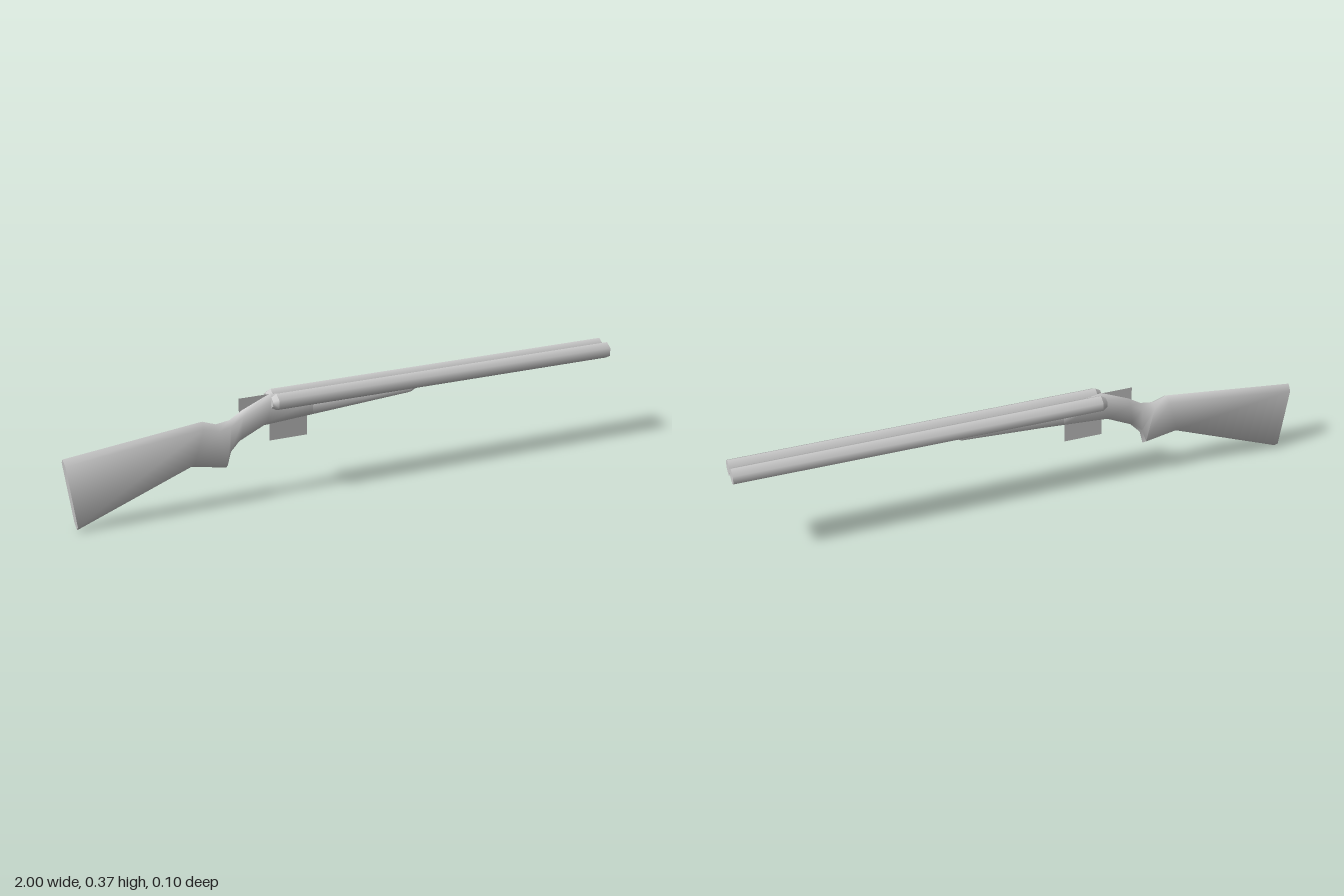
import * as THREE from 'three';
import { mergeVertices, toCreasedNormals } from 'three/addons/utils/BufferGeometryUtils.js';

const grey = new THREE.MeshStandardMaterial({ color: 0xcccccc });
const thin = new THREE.MeshStandardMaterial({ color: 0xcccccc, side: THREE.DoubleSide });

// Lofts six-sided sections along x: [top x, top y, bottom x, bottom y, half width, lower half width]
function loft(name, sections) {
  const pos = [], index = [], n = sections.length;
  for (const [tx, ty, bx, by, w, lw = w] of sections) {
    const f = Math.min(0.018 / (ty - by), 0.3);
    const ring = [[0, 0], [f, w], [1 - f, lw], [1, 0], [1 - f, -lw], [f, -w]];
    for (const [t, z] of ring) pos.push(tx + (bx - tx) * t, ty + (by - ty) * t, z);
  }
  for (let i = 0; i < n - 1; i++) {
    for (let j = 0; j < 6; j++) {
      const a = i * 6 + j, b = i * 6 + (j + 1) % 6;
      index.push(a, b, a + 6, b, b + 6, a + 6);
    }
  }
  // End faces
  const e = (n - 1) * 6;
  for (let j = 1; j < 5; j++) index.push(0, j + 1, j, e, e + j, e + j + 1);
  const geo = new THREE.BufferGeometry();
  geo.setAttribute('position', new THREE.Float32BufferAttribute(pos, 3));
  geo.setIndex(index);
  const mesh = new THREE.Mesh(toCreasedNormals(mergeVertices(geo), 1.15), grey);
  mesh.name = name;
  return mesh;
}

// Six-sided tube section along x, with a ridge on top
function hexTube(name, x0, x1, r0, r1, z) {
  const geo = new THREE.CylinderGeometry(r1, r0, x1 - x0, 6, 1, false, Math.PI / 2);
  geo.rotateZ(-Math.PI / 2);
  const mesh = new THREE.Mesh(geo, grey);
  mesh.position.set((x0 + x1) / 2, 0.348, z);
  mesh.name = name;
  return mesh;
}

// Flat plate on the centre plane, from outline corners
function plate(name, corners) {
  const shape = new THREE.Shape(corners.map(([x, y]) => new THREE.Vector2(x, y)));
  const mesh = new THREE.Mesh(new THREE.ShapeGeometry(shape), thin);
  mesh.name = name;
  return mesh;
}

export function createModel() {
  const model = new THREE.Group();
  model.name = 'doubleBarrelShotgun';

  // Butt, grip and receiver in one flowing body
  model.add(loft('stock', [
    [-1.0, 0.257, -0.965, 0.003, 0.021, 0.019],
    [-0.525, 0.31, -0.567, 0.157, 0.025],
    [-0.478, 0.293, -0.444, 0.133, 0.023],
    [-0.43, 0.3, -0.433, 0.18, 0.018],
    [-0.385, 0.328, -0.396, 0.22, 0.018],
    [-0.283, 0.372, -0.308, 0.262, 0.024],
    [-0.14, 0.345, -0.14, 0.273, 0.025],
  ]));

  // Wooden grip under the barrels
  model.add(loft('foreEnd', [
    [-0.14, 0.345, -0.14, 0.273, 0.025],
    [0.225, 0.338, 0.225, 0.297, 0.025],
    [0.25, 0.336, 0.25, 0.312, 0.02],
  ]));

  // Side-by-side barrels with tapered breech ends
  for (const [side, s] of [['left', 1], ['right', -1]]) {
    const barrel = new THREE.Group();
    barrel.name = side === 'left' ? 'frontBarrel' : 'rearBarrel';
    barrel.add(hexTube('tube', -0.272, 1, 0.029, 0.029, s * 0.026));
    barrel.add(hexTube('breech', -0.29, -0.272, 0.018, 0.029, s * 0.026));
    model.add(barrel);
  }

  // Flat hammer and trigger plates
  model.add(plate('hammerPlate', [[-0.396, 0.3], [-0.27, 0.3], [-0.27, 0.37], [-0.396, 0.37]]));
  model.add(plate('triggerPlate', [[-0.288, 0.204], [-0.152, 0.204], [-0.152, 0.29], [-0.288, 0.29]]));
  return model;
}
